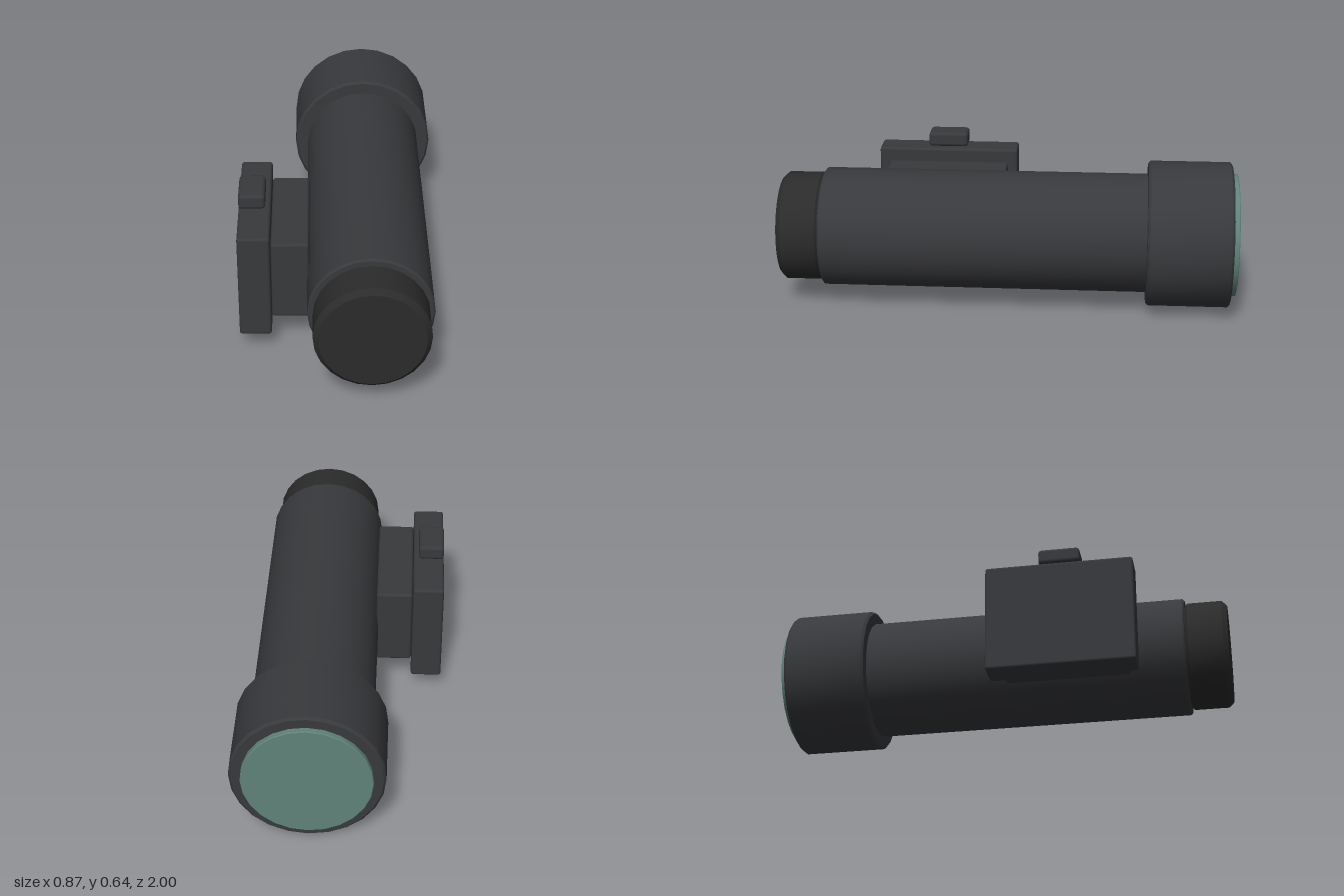
import * as THREE from 'three';
import { toCreasedNormals } from 'three/addons/utils/BufferGeometryUtils.js';
import { RoundedBoxGeometry } from 'three/addons/geometries/RoundedBoxGeometry.js';

const AXIS_X = 0.113, AXIS_Y = 0.323;

export function createModel() {
  const model = new THREE.Group();
  const bodyMat = new THREE.MeshStandardMaterial({ color: 0x38393c });
  const capMat = new THREE.MeshStandardMaterial({ color: 0x2b2b2b });
  const glassMat = new THREE.MeshStandardMaterial({ color: 0x5f8378 });

  const add = (name, geometry, material) => {
    const mesh = new THREE.Mesh(geometry, material);
    mesh.name = name;
    model.add(mesh);
    return mesh;
  };

  // Chamfered 24-sided barrel section running along z
  const barrel = (name, radius, z0, z1, bevel, material) => {
    const profile = [
      [0, z0], [radius - bevel, z0], [radius, z0 + bevel],
      [radius, z1 - bevel], [radius - bevel, z1], [0, z1],
    ].map(([r, z]) => new THREE.Vector2(r, z));
    const geo = toCreasedNormals(new THREE.LatheGeometry(profile, 24), 0.5);
    geo.rotateX(Math.PI / 2);
    add(name, geo, material).position.set(AXIS_X, AXIS_Y, 0);
  };

  // Rounded block given by its lower and upper corners
  const block = (name, min, max, radius) => {
    const size = max.map((v, i) => v - min[i]);
    const geo = new RoundedBoxGeometry(...size, 2, radius);
    add(name, geo, bodyMat).position.set(...min.map((v, i) => v + size[i] / 2));
  };

  // Tube sections from the rear lens to the front cap
  barrel('lens', 0.27, -1, -0.95, 0.003, glassMat);
  barrel('lensHousing', 0.32, -0.975, -0.61, 0.01, bodyMat);
  barrel('mainTube', 0.262, -0.615, 0.813, 0.008, bodyMat);
  barrel('endCap', 0.24, 0.805, 1, 0.022, capMat);

  // Side mount with its plate and button
  block('mountBlock', [-0.3, 0.141, 0.03], [-0.14, 0.505, 0.58], 0.012);
  block('mountPlate', [-0.437, 0.083, -0.012], [-0.301, 0.563, 0.627], 0.012);
  block('button', [-0.437, 0.565, 0.22], [-0.324, 0.632, 0.4], 0.016);

  return model;
}
